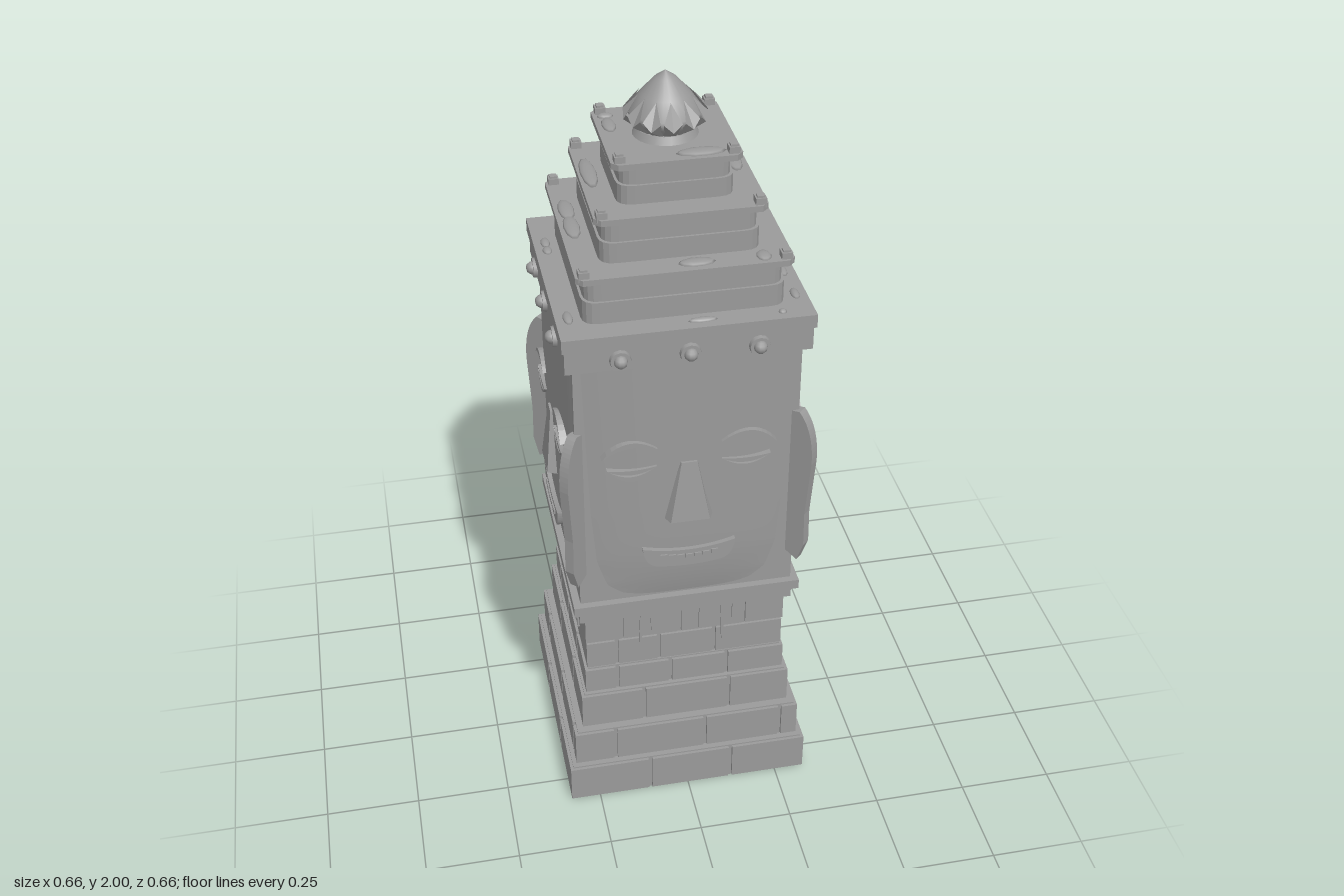
import * as THREE from 'three';

const stone = new THREE.MeshStandardMaterial({ color: 0x9a9a9a });
stone.name = 'grey stone';
const stoneThin = stone.clone();
stoneThin.side = THREE.DoubleSide;

function add(parent, name, geo, x = 0, y = 0, z = 0, mat = stone) {
  const m = new THREE.Mesh(geo, mat);
  m.name = name;
  m.position.set(x, y, z);
  parent.add(m);
  return m;
}

// square slab from y0 to y1
function slab(parent, name, half, y0, y1) {
  return add(parent, name, new THREE.BoxGeometry(half * 2, y1 - y0, half * 2), 0, (y0 + y1) / 2, 0);
}

// square slab with cut or rounded corners
function softSlab(parent, name, h, y0, y1, c, round) {
  const s = new THREE.Shape();
  s.moveTo(-h + c, -h);
  [[1, -1], [1, 1], [-1, 1], [-1, -1]].forEach(([sx, sy], i) => {
    const a = [sx * (h - c), sy * h], b = [sx * h, sy * (h - c)];
    const [p, q] = i % 2 ? [b, a] : [a, b];
    s.lineTo(...p);
    if (round) s.quadraticCurveTo(sx * h, sy * h, ...q);
    else s.lineTo(...q);
  });
  const g = new THREE.ExtrudeGeometry(s, { depth: y1 - y0, bevelEnabled: false, curveSegments: 4 });
  g.rotateX(-Math.PI / 2);
  return add(parent, name, g, 0, y0, 0);
}

// crescent between two curves of different sag, extruded towards +z
function crescent(a, upper, lower, depth) {
  const s = new THREE.Shape();
  s.moveTo(-a, 0);
  s.quadraticCurveTo(0, lower * 2, a, 0);
  s.quadraticCurveTo(0, upper * 2, -a, 0);
  return new THREE.ExtrudeGeometry(s, { depth, bevelEnabled: false, curveSegments: 10 });
}

// one course of bricks around a square core
function course(parent, half, y0, y1, joints) {
  const gap = 0.01;
  slab(parent, 'courseCore', half - 0.008, y0, y1);
  const edges = [-half - gap / 2, ...joints, half + gap / 2];
  for (let k = 0; k < 4; k++) {
    const side = new THREE.Group();
    side.name = 'brickRow';
    side.rotation.y = k * Math.PI / 2;
    parent.add(side);
    for (let i = 0; i + 1 < edges.length; i++) {
      const w = edges[i + 1] - edges[i] - gap;
      add(side, 'brick', new THREE.BoxGeometry(w, y1 - y0 - 0.008, 0.03),
        (edges[i] + edges[i + 1]) / 2, (y0 + y1) / 2, half - 0.015);
    }
  }
}

// bulging mask with a rounded chin
const outline = [[0.668, 0.13], [0.685, 0.18], [0.72, 0.215], [0.8, 0.238], [0.95, 0.25], [1.15, 0.257], [1.395, 0.265]];
function halfWidth(y) {
  for (let i = 1; i < outline.length; i++) {
    const [ya, wa] = outline[i - 1], [yb, wb] = outline[i];
    if (y <= yb) return wa + (wb - wa) * (y - ya) / (yb - ya);
  }
  return 0.265;
}
function maskGeometry() {
  const g = new THREE.PlaneGeometry(2, 1, 28, 40);
  const p = g.attributes.position;
  for (let i = 0; i < p.count; i++) {
    const u = p.getX(i), t = Math.pow(p.getY(i) + 0.5, 1.4), y = 0.668 + 0.727 * t;
    const chin = 1 - Math.pow(Math.max(0, 1 - t / 0.3), 2.5);
    const bulge = (1 - Math.pow(Math.abs(u), 3)) * chin;
    p.setXYZ(i, u * halfWidth(y), y, 0.279 + 0.02 * bulge);
  }
  g.computeVertexNormals();
  return g;
}

// wedge nose: narrow at the top, wide and proud at the bottom
function noseGeometry() {
  const g = new THREE.BoxGeometry(2, 0.17, 1).toNonIndexed();
  const p = g.attributes.position;
  for (let i = 0; i < p.count; i++) {
    const top = p.getY(i) > 0, front = p.getZ(i) > 0;
    const w = top ? (front ? 0.02 : 0.026) : (front ? 0.05 : 0.072);
    p.setX(i, p.getX(i) * w);
    p.setZ(i, front ? (top ? 0.305 : 0.323) : 0.275);
  }
  g.computeVertexNormals();
  return g;
}

function faceSide(parent, k) {
  const f = new THREE.Group();
  f.name = 'face' + (k + 1);
  f.rotation.y = k * Math.PI / 2;
  parent.add(f);
  add(f, 'mask', maskGeometry(), 0, 0, 0, stoneThin);
  add(f, 'nose', noseGeometry(), 0, 1.015, 0);
  for (const s of [-1, 1]) {
    add(f, 'brow', crescent(0.07, 0.034, 0.02, 0.03), s * 0.15, 1.144, 0.278).rotation.z = s * -0.12;
    add(f, 'upperLid', crescent(0.062, -0.006, -0.019, 0.027), s * 0.144, 1.1, 0.278);
    add(f, 'lowerLid', crescent(0.058, -0.022, -0.036, 0.03), s * 0.144, 1.098, 0.276);
  }
  // smiling mouth with a row of teeth
  const lips = new THREE.Shape();
  lips.moveTo(-0.12, 0.845);
  lips.quadraticCurveTo(-0.115, 0.79, -0.08, 0.785);
  lips.quadraticCurveTo(0, 0.772, 0.08, 0.785);
  lips.quadraticCurveTo(0.115, 0.79, 0.12, 0.845);
  lips.quadraticCurveTo(0, 0.812, -0.12, 0.845);
  add(f, 'lips', new THREE.ExtrudeGeometry(lips, { depth: 0.035, bevelEnabled: false }), 0, 0, 0.275);
  for (let i = -3; i <= 3; i++)
    add(f, 'tooth', new THREE.BoxGeometry(0.018, 0.012, 0.006), i * 0.022, 0.81 + i * i * 0.0007, 0.311);
  // studs on the headband
  for (const x of [-0.168, 0, 0.168]) {
    const ring = add(f, 'studRing', new THREE.CylinderGeometry(0.025, 0.027, 0.014, 12), x, 1.418, 0.304);
    ring.rotation.x = Math.PI / 2;
    add(f, 'stud', new THREE.SphereGeometry(0.017, 10, 6), x, 1.418, 0.311);
  }
  // long ear standing on the corner
  const e = new THREE.Shape();
  e.moveTo(0.37, 1.2);
  e.lineTo(0.405, 1.205);
  e.quadraticCurveTo(0.448, 1.16, 0.446, 1.06);
  e.lineTo(0.434, 0.9);
  e.lineTo(0.436, 0.8);
  e.lineTo(0.418, 0.745);
  e.lineTo(0.37, 0.77);
  const ear = add(f, 'ear', new THREE.ExtrudeGeometry(e, { depth: 0.026, bevelEnabled: false }).translate(0, 0, -0.013));
  ear.rotation.y = Math.PI / 4;
  // roots hanging over the brickwork
  [[-0.12, 0.11], [-0.09, 0.07], [0.04, 0.08], [0.1, 0.13], [0.13, 0.06]].forEach(([x, len], i) => {
    add(f, 'root', new THREE.BoxGeometry(0.007, len, 0.006), x + k * 0.015, 0.605 - len / 2, 0.27)
      .rotation.z = (i % 2 ? 1 : -1) * 0.04;
  });
}

export function createModel() {
  const model = new THREE.Group();
  model.name = 'stoneTower';

  // stepped brick base
  const base = new THREE.Group();
  base.name = 'brickBase';
  model.add(base);
  [[0.33, 0, 0.117, [-0.107, 0.12]], [0.311, 0.117, 0.228, [-0.2, 0.05, 0.262]],
    [0.286, 0.228, 0.342, [-0.115, 0.12]], [0.272, 0.342, 0.424, [-0.185, -0.04, 0.115]],
    [0.266, 0.424, 0.513, [-0.185, -0.07, 0.08]], [0.268, 0.513, 0.605, [-0.17, -0.015, 0.16]],
  ].forEach((c) => course(base, ...c));
  slab(model, 'lowerCornice', 0.283, 0.602, 0.64);
  slab(model, 'upperCornice', 0.299, 0.64, 0.668);

  // head with a face on each side
  slab(model, 'headCore', 0.28, 0.665, 1.4);
  for (let k = 0; k < 4; k++) faceSide(model, k);
  slab(model, 'headband', 0.3, 1.39, 1.452);
  slab(model, 'headbandLedge', 0.306, 1.452, 1.487);

  // three roof tiers with corner posts
  [[0.245, 0.26, 1.487, 1.6, 0.24], [0.193, 0.206, 1.615, 1.72, 0.187], [0.14, 0.155, 1.735, 1.83, 0.134],
  ].forEach(([h, lip, y0, y1, c]) => {
    const mid = y0 + (y1 - y0) * 0.5;
    softSlab(model, 'tierFoot', h, y0, mid, 0.04, true);
    softSlab(model, 'tierWall', h - 0.006, mid, y1, 0.04, true);
    softSlab(model, 'tierLip', lip, y1, y1 + 0.015, 0.016, false);
    for (const sx of [-1, 1]) for (const sz of [-1, 1]) {
      add(model, 'cornerPost', new THREE.BoxGeometry(0.026, 0.024, 0.026), sx * c, y1 + 0.019, sz * c);
      add(model, 'cornerPostCap', new THREE.BoxGeometry(0.018, 0.006, 0.018), sx * c, y1 + 0.033, sz * c);
    }
  });

  // lotus bud finial
  add(model, 'budCollar', new THREE.CylinderGeometry(0.07, 0.08, 0.02, 24), 0, 1.853, 0);
  const bud = [[0.055, 1.855], [0.085, 1.885], [0.088, 1.905], [0.06, 1.945], [0.025, 1.983], [0, 2]];
  add(model, 'bud', new THREE.LatheGeometry(bud.map(([r, y]) => new THREE.Vector2(r, y)), 24));
  const petal = new THREE.BufferGeometry();
  petal.setAttribute('position', new THREE.Float32BufferAttribute([
    -0.015, 1.858, 0.058, 0.015, 1.858, 0.058, 0, 1.885, 0.1,
    -0.015, 1.858, 0.058, 0, 1.885, 0.1, -0.022, 1.905, 0.097,
    0.015, 1.858, 0.058, 0.022, 1.905, 0.097, 0, 1.885, 0.1,
    -0.022, 1.905, 0.097, 0, 1.885, 0.1, 0, 1.945, 0.064,
    0, 1.885, 0.1, 0.022, 1.905, 0.097, 0, 1.945, 0.064], 3));
  petal.computeVertexNormals();
  for (let i = 0; i < 12; i++)
    add(model, 'petal', petal, 0, 0, 0, stoneThin).rotation.y = i * Math.PI / 6;

  // flat moss cushions on the ledges: x, z, half length in x, half length in z
  [[-0.095, -0.23, 0.06, 0.024], [0.065, -0.23, 0.07, 0.022], [-0.07, -0.178, 0.048, 0.022],
    [0.07, -0.125, 0.03, 0.02], [-0.125, -0.11, 0.02, 0.014], [-0.125, -0.06, 0.017, 0.04],
    [-0.18, -0.04, 0.02, 0.08], [-0.23, -0.09, 0.02, 0.055], [-0.23, 0, 0.02, 0.06],
    [0.175, -0.04, 0.02, 0.06], [0.06, 0.122, 0.06, 0.022], [0.03, 0.225, 0.045, 0.02],
    [0.19, 0.225, 0.018, 0.025], [-0.05, -0.278, 0.03, 0.012], [0.145, -0.278, 0.035, 0.01],
    [0.2, -0.278, 0.018, 0.012], [-0.276, -0.165, 0.012, 0.025], [-0.276, -0.125, 0.012, 0.02],
    [0.275, -0.22, 0.011, 0.016], [0.275, 0.085, 0.012, 0.03], [0.277, 0.2, 0.011, 0.025],
    [-0.275, 0.205, 0.012, 0.03], [0.035, 0.275, 0.036, 0.01], [0.228, 0.275, 0.01, 0.01],
  ].forEach(([x, z, rx, rz]) => {
    const m = Math.max(Math.abs(x), Math.abs(z));
    const y = m > 0.26 ? 1.487 : m > 0.205 ? 1.615 : m > 0.155 ? 1.735 : 1.845;
    add(model, 'moss', new THREE.SphereGeometry(1, 10, 6), x, y, z).scale.set(rx, 0.008, rz);
  });
  return model;
}
